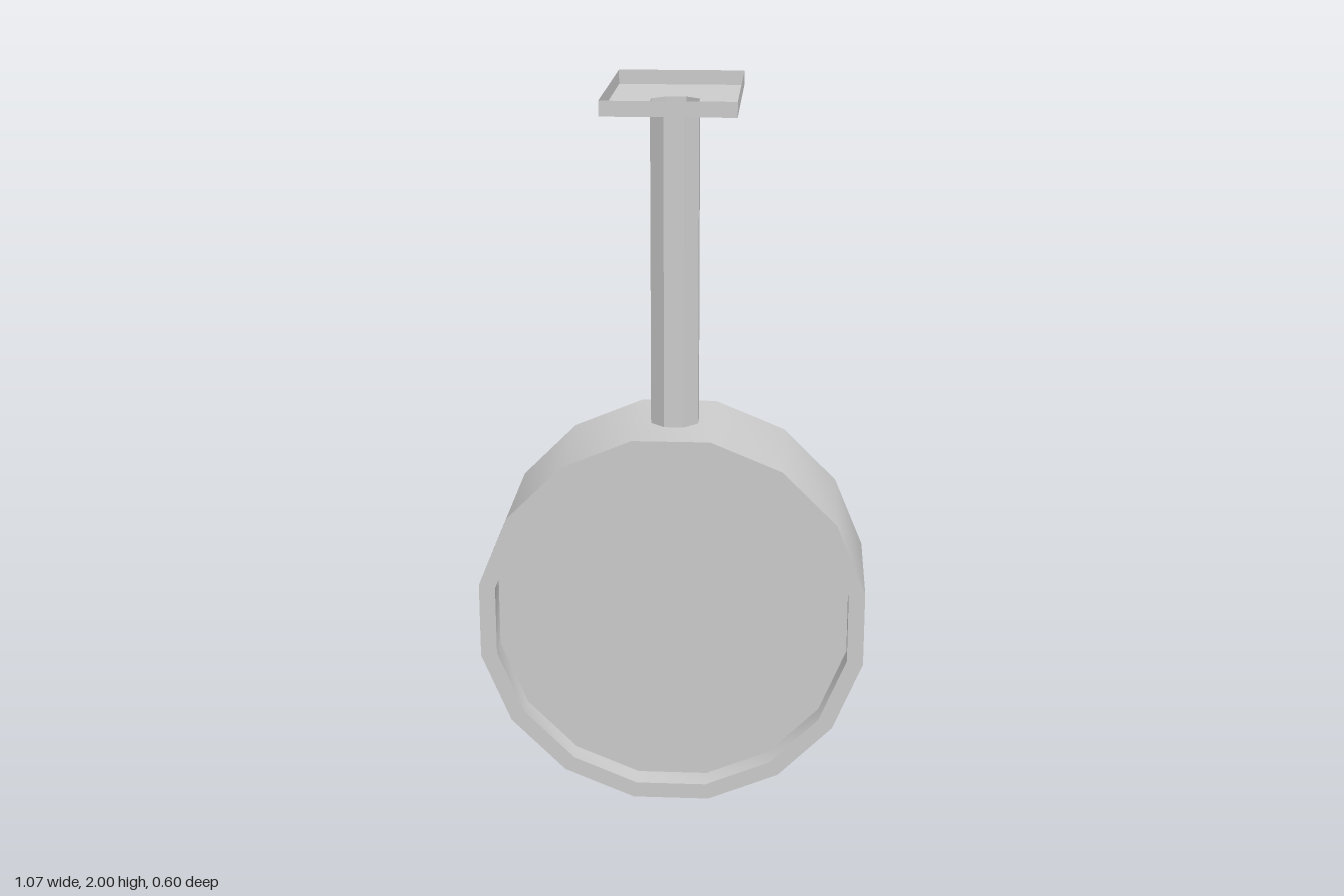
import * as THREE from 'three';
import { toCreasedNormals } from 'three/addons/utils/BufferGeometryUtils.js';

const grey = new THREE.MeshStandardMaterial({ color: 0xcccccc });
const greyThin = new THREE.MeshStandardMaterial({ color: 0xcccccc, side: THREE.DoubleSide, flatShading: true });

// corner radius of a regular polygon from its width across flats
const cornerRadius = (width, sides) => width / 2 / Math.cos(Math.PI / sides);

const SIDES = 16, POST_SIDES = 8;
const DRUM = 1.07, DEPTH = 0.39, RECESS = 0.07;
const POST = 0.13, TOP = 2, FLOOR = 1.96;
const TRAY_X = 0.35, TRAY_Z = 0.6;

export function createModel() {
  const model = new THREE.Group();
  const add = (name, geometry, material, x = 0, y = 0, z = 0) => {
    const mesh = new THREE.Mesh(geometry, material);
    mesh.name = name;
    mesh.position.set(x, y, z);
    model.add(mesh);
    return mesh;
  };

  // round housing with a raised rim on both sides
  const outer = cornerRadius(DRUM, SIDES), inner = cornerRadius(0.98, SIDES);
  const h = DEPTH / 2, f = h - RECESS;
  const profile = [[inner, -f], [inner, -h], [outer, -h], [outer, h], [inner, h], [inner, f]]
    .map(([r, y]) => new THREE.Vector2(r, y));
  const housing = new THREE.LatheGeometry(profile, SIDES, Math.PI / SIDES).rotateX(Math.PI / 2);
  add('housing', toCreasedNormals(housing, 0.6), grey, 0, DRUM / 2);

  // recessed dials, front and back
  const dial = new THREE.CircleGeometry(inner, SIDES, Math.PI / SIDES);
  add('frontDial', dial, grey, 0, DRUM / 2, f);
  add('backDial', dial, grey, 0, DRUM / 2, -f).rotation.y = Math.PI;

  // hollow hanging post
  const postR = cornerRadius(POST, POST_SIDES);
  const length = FLOOR - DRUM;
  add('post', new THREE.CylinderGeometry(postR, postR, length, POST_SIDES, 1, true, Math.PI / POST_SIDES),
    greyThin, 0, DRUM + length / 2);

  // mounting tray floor, pierced where the post enters
  const x = TRAY_X / 2, z = TRAY_Z / 2;
  const floor = new THREE.Shape([[-x, -z], [x, -z], [x, z], [-x, z]].map(p => new THREE.Vector2(...p)));
  const hole = [];
  for (let i = 0; i < POST_SIDES; i++) {
    const a = (i + 0.5) / POST_SIDES * Math.PI * 2;
    hole.push(new THREE.Vector2(postR * Math.cos(a), postR * Math.sin(a)));
  }
  floor.holes.push(new THREE.Path(hole));
  add('trayFloor', new THREE.ShapeGeometry(floor).rotateX(-Math.PI / 2), greyThin, 0, FLOOR);

  // thin upright tray edges
  const wallH = TOP - FLOOR, wallY = FLOOR + wallH / 2;
  for (const s of [1, -1]) {
    const turn = s > 0 ? 0 : Math.PI;
    add(s > 0 ? 'trayFrontEdge' : 'trayBackEdge', new THREE.PlaneGeometry(TRAY_X, wallH), greyThin, 0, wallY, s * z)
      .rotation.y = turn;
    add(s > 0 ? 'trayLeftEdge' : 'trayRightEdge', new THREE.PlaneGeometry(TRAY_Z, wallH), greyThin, s * x, wallY, 0)
      .rotation.y = s * Math.PI / 2;
  }
  return model;
}
